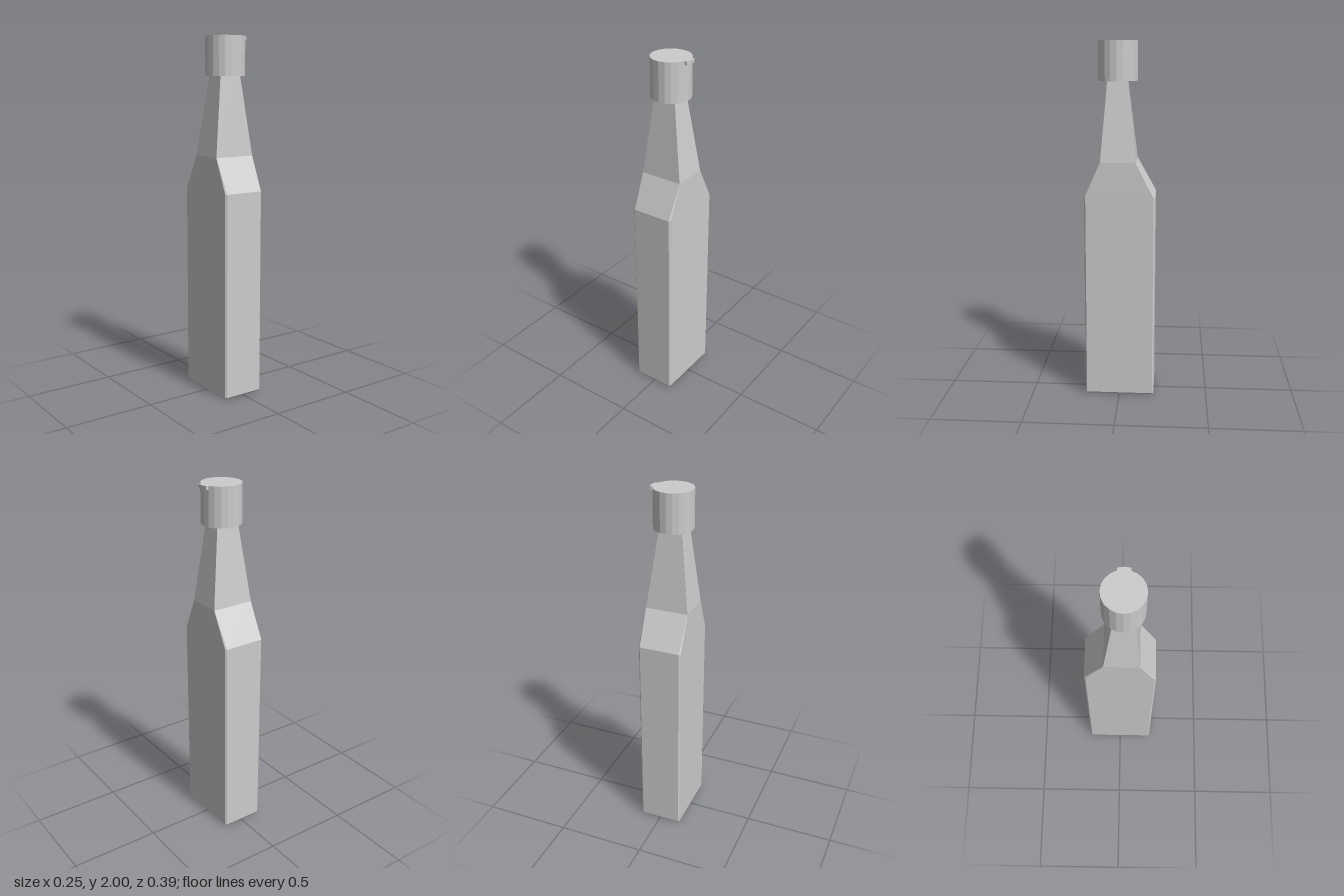
import * as THREE from 'three';

const grey = () => new THREE.MeshStandardMaterial({ color: 0xcccccc, flatShading: true });

// Rectangle with chamfered corners at height y, running from +x towards +z
function ring({ y, x0, x1, z0, z1, c }) {
  return [
    [x1, z0 + c], [x1, z1 - c], [x1 - c, z1], [x0 + c, z1],
    [x0, z1 - c], [x0, z0 + c], [x0 + c, z0], [x1 - c, z0],
  ].map(([x, z]) => [x, y, z]);
}

// Skin the cross-sections from bottom to top and close both ends
function loft(sections) {
  const rings = sections.map(ring);
  const n = rings[0].length;
  const index = [];
  for (let r = 0; r < rings.length - 1; r++) {
    for (let i = 0; i < n; i++) {
      const a = r * n + i, b = r * n + (i + 1) % n;
      index.push(a, a + n, b, b, a + n, b + n);
    }
  }
  const top = (rings.length - 1) * n;
  for (let i = 1; i < n - 1; i++) {
    index.push(0, i, i + 1, top, top + i + 1, top + i);
  }
  const geo = new THREE.BufferGeometry();
  geo.setAttribute('position', new THREE.Float32BufferAttribute(rings.flat(2), 3));
  geo.setIndex(index);
  const flat = geo.toNonIndexed();
  flat.computeVertexNormals();
  return flat;
}

export function createModel() {
  const group = new THREE.Group();
  const add = (name, geo) => {
    const mesh = new THREE.Mesh(geo, grey());
    mesh.name = name;
    group.add(mesh);
    return mesh;
  };

  // Bottle: bevelled foot, straight body, sloped shoulders, tapering neck
  add('bottle', loft([
    { y: 0, x0: -0.117, x1: 0.11, z0: -0.189, z1: 0.185, c: 0.004 },
    { y: 0.01, x0: -0.125, x1: 0.118, z0: -0.197, z1: 0.194, c: 0.008 },
    { y: 1.16, x0: -0.125, x1: 0.118, z0: -0.197, z1: 0.194, c: 0.008 },
    { y: 1.35, x0: -0.125, x1: 0.118, z0: -0.09, z1: 0.105, c: 0.001 },
    { y: 1.79, x0: -0.071, x1: 0.06, z0: -0.038, z1: 0.068, c: 0.001 },
  ]));

  // Cap: 20-sided cylinder
  const cx = -0.002, cz = 0.014;
  add('cap', new THREE.CylinderGeometry(0.109, 0.109, 0.215, 20))
    .position.set(cx, 1.8925, cz);

  // Small lip at the rim of the cap, on the model's left
  const lip = new THREE.Shape([
    [0.08, -0.033], [0.119, -0.033], [0.124, 0], [0.119, 0.033], [0.08, 0.033],
  ].map(([x, y]) => new THREE.Vector2(x, y)));
  const lipGeo = new THREE.ExtrudeGeometry(lip, { depth: 0.02, bevelEnabled: false });
  lipGeo.rotateX(-Math.PI / 2);
  add('capLip', lipGeo).position.set(cx, 1.98, cz);

  return group;
}
